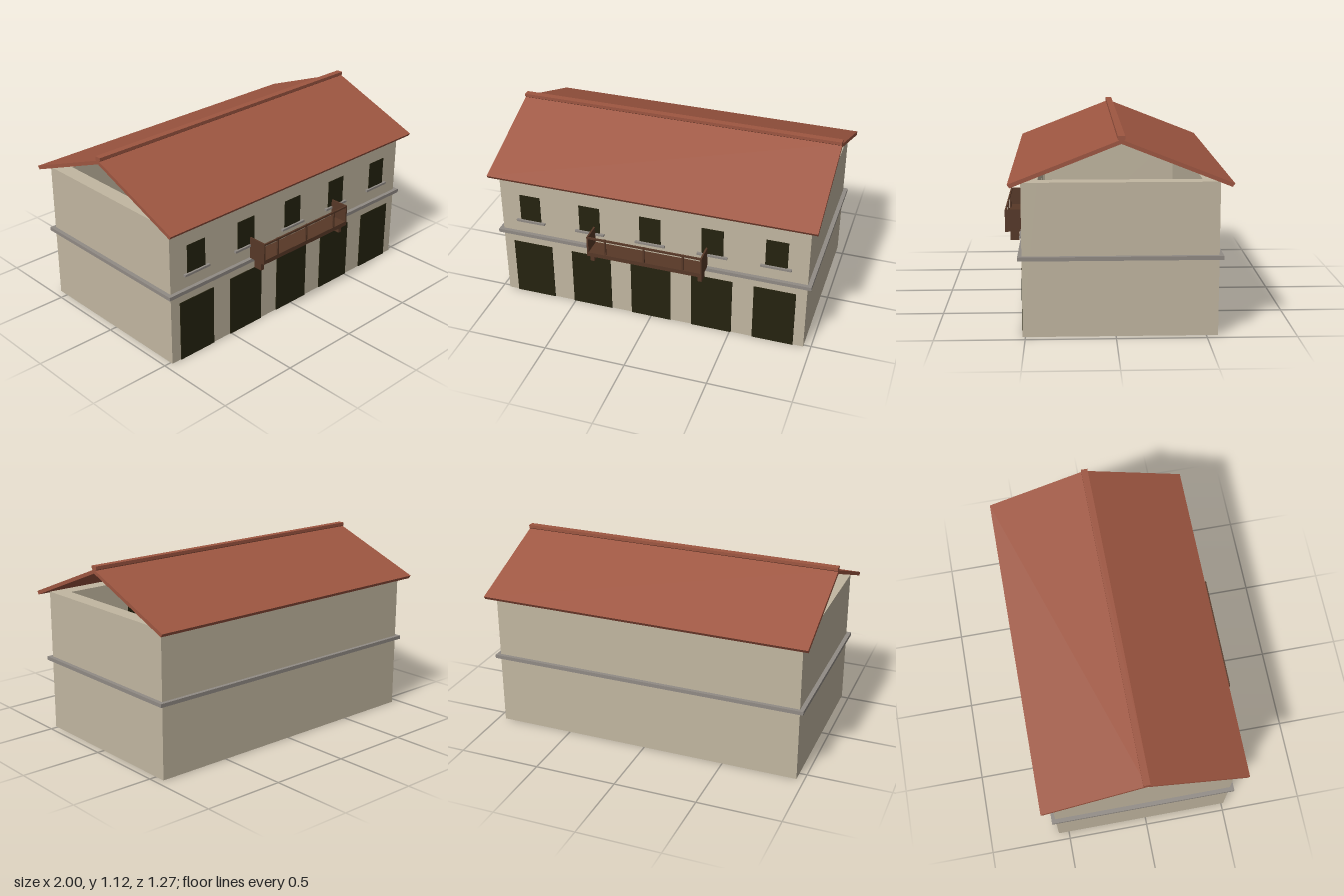
import * as THREE from 'three';

const mat = (name, color) => {
  const m = new THREE.MeshStandardMaterial({ color });
  m.name = name;
  return m;
};

export function createModel() {
  const plaster = mat('plaster', 0xc2b7a1);
  const stone = mat('stone', 0x918b85);
  const tile = mat('terracotta', 0x9e5641);
  const dark = mat('dark opening', 0x25230f);
  const wood = mat('dark wood', 0x573827);

  const house = new THREE.Group();
  house.name = 'house';

  // Box given by its min and max corners
  const box = (name, material, [x0, y0, z0], [x1, y1, z1], parent = house) => {
    const mesh = new THREE.Mesh(new THREE.BoxGeometry(x1 - x0, y1 - y0, z1 - z0), material);
    mesh.position.set((x0 + x1) / 2, (y0 + y1) / 2, (z0 + z1) / 2);
    mesh.name = name;
    parent.add(mesh);
    return mesh;
  };

  const W = 0.955, H = 0.863, FRONT = 0.515, BACK = -0.565, T = 0.09, MID = -0.025;
  const bays = [-2, -1, 0, 1, 2].map((i) => i * 0.3825);
  const R = 0.126, SPRING = 0.249;          // arch radius and springing height
  const WIN = 0.066, WIN0 = 0.545, WIN1 = 0.72;

  // Front wall: arches cut from the bottom edge, window holes above
  const wall = new THREE.Shape();
  wall.moveTo(-W, 0);
  for (const x of bays) {
    wall.lineTo(x - R, 0);
    wall.lineTo(x - R, SPRING);
    wall.absarc(x, SPRING, R, Math.PI, 0, true);
    wall.lineTo(x + R, 0);
  }
  wall.lineTo(W, 0);
  wall.lineTo(W, H);
  wall.lineTo(-W, H);
  wall.closePath();
  for (const x of bays) {
    const hole = new THREE.Path();
    hole.moveTo(x - WIN, WIN0);
    hole.lineTo(x - WIN, WIN1);
    hole.lineTo(x + WIN, WIN1);
    hole.lineTo(x + WIN, WIN0);
    hole.closePath();
    wall.holes.push(hole);
  }
  const frontWall = new THREE.Mesh(
    new THREE.ExtrudeGeometry(wall, { depth: T, bevelEnabled: false, curveSegments: 8 }), plaster);
  frontWall.position.z = FRONT - T;
  frontWall.name = 'frontWall';
  house.add(frontWall);

  // Remaining walls, open under the roof
  box('backWall', plaster, [-W, 0, BACK], [W, H, BACK + T]);
  box('rightWall', plaster, [-W, 0, BACK + T], [-W + T, H, FRONT - T]);
  box('leftWall', plaster, [W - T, 0, BACK + T], [W, H, FRONT - T]);

  // Floor slab that projects as a string course
  box('floorSlab', stone, [-0.98, 0.435, -0.588], [0.98, 0.457, 0.538]);

  // Doors, windows and sills
  for (const x of bays) {
    box('doorPanel', dark, [x - R, 0, FRONT], [x + R, SPRING + R, FRONT + 0.005]);
    box('windowPanel', dark, [x - WIN, WIN0, FRONT], [x + WIN, WIN1, FRONT + 0.003]);
    box('windowSill', stone, [x - 0.092, 0.534, FRONT - 0.01], [x + 0.092, 0.547, FRONT + 0.015]);
  }

  // Gable roof: one folded sheet extruded along x
  const profile = [
    [0, 1.1], [0.61, 0.861], [0.597, 0.842], [0, 1.077], [-0.597, 0.842], [-0.61, 0.861],
  ];
  const extrudeX = (name, points) => {
    const shape = new THREE.Shape(points.map(([z, y]) => new THREE.Vector2(-z, y)));
    const geo = new THREE.ExtrudeGeometry(shape, { depth: 2, bevelEnabled: false });
    geo.translate(0, 0, -1).rotateY(Math.PI / 2);
    const mesh = new THREE.Mesh(geo, tile);
    mesh.position.z = MID;
    mesh.name = name;
    house.add(mesh);
  };
  extrudeX('roof', profile);
  extrudeX('ridgeCap', [[-0.02, 1.12], [0.02, 1.12], [0.02, 1.101], [0.009, 1.092], [-0.009, 1.092], [-0.02, 1.101]]);

  // Balcony
  const balcony = new THREE.Group();
  balcony.name = 'balcony';
  house.add(balcony);
  const B = 0.355, Z0 = 0.522, Z1 = 0.638;
  box('balconyFloor', wood, [-B, 0.458, Z0], [B, 0.484, Z1], balcony);
  box('balconyRail', wood, [-B, 0.579, Z1 - 0.01], [B, 0.59, Z1], balcony);
  for (const x of [-0.24, 0, 0.24])
    box('balconyPost', wood, [x - 0.005, 0.484, Z1 - 0.01], [x + 0.005, 0.592, Z1], balcony);
  for (const s of [-1, 1]) {
    const x = s * (B - 0.005), b = s * 0.335;
    box('balconySide', wood, [x - 0.005, 0.458, Z0], [x + 0.005, 0.592, Z1], balcony);
    box('balconyBracket', wood, [b - 0.012, 0.404, 0.553], [b + 0.012, 0.458, 0.607], balcony);
  }
  return house;
}
